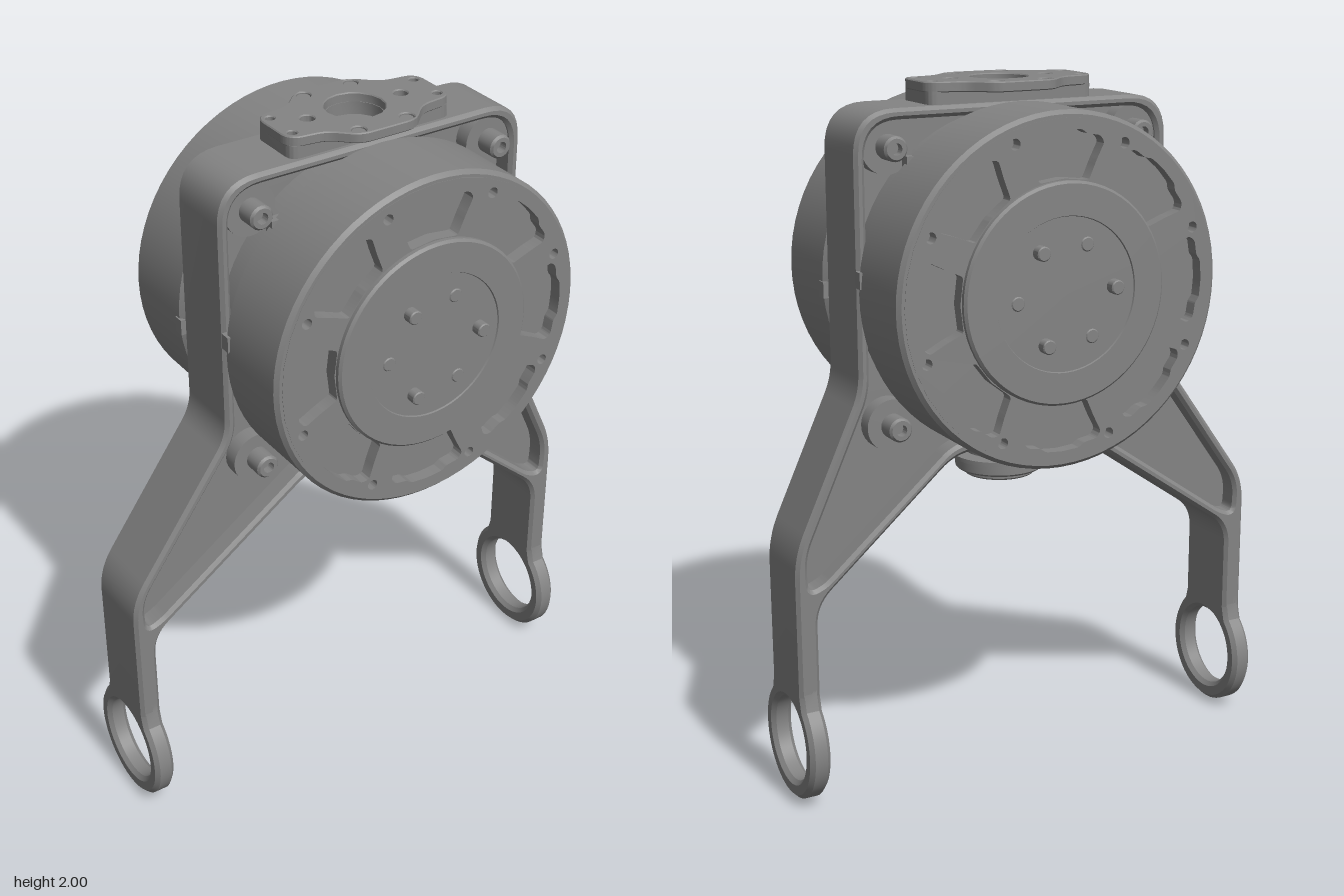
import * as THREE from 'three';
import { toCreasedNormals } from 'three/addons/utils/BufferGeometryUtils.js';

const CX = 0.058, CY = 1.46; // axis of the two drums
const material = new THREE.MeshStandardMaterial({ color: 0x848484 });

function part(parent, name, geometry, x = 0, y = 0, z = 0) {
  const mesh = new THREE.Mesh(toCreasedNormals(geometry, 0.5), material);
  mesh.name = name;
  mesh.position.set(x, y, z);
  parent.add(mesh);
  return mesh;
}

// Polygon with rounded corners; each point is [x, y, radius]
function rounded(points, path = new THREE.Shape()) {
  const n = points.length;
  points.forEach(([x, y, r = 0], i) => {
    const p = new THREE.Vector2(x, y);
    const toward = ([qx, qy]) => {
      const d = new THREE.Vector2(qx, qy).sub(p);
      return d.setLength(Math.min(r, d.length() * 0.49)).add(p);
    };
    const a = toward(points[(i + n - 1) % n]), b = toward(points[(i + 1) % n]);
    if (i === 0) path.moveTo(a.x, a.y); else path.lineTo(a.x, a.y);
    if (r > 0) path.quadraticCurveTo(x, y, b.x, b.y);
  });
  path.closePath();
  return path;
}

const circle = (x, y, r, path = new THREE.Path()) => path.absarc(x, y, r, 0, Math.PI * 2, false);

// Extrusion of total thickness `depth`, centred on z, with chamfers kept inside the outline
function slab(shape, depth, bevel = 0, curveSegments = 8) {
  const g = new THREE.ExtrudeGeometry(shape, {
    depth: depth - 2 * bevel, curveSegments, bevelEnabled: bevel > 0,
    bevelSize: bevel, bevelThickness: bevel, bevelOffset: -bevel, bevelSegments: 1,
  });
  return g.translate(0, 0, -depth / 2 + bevel);
}

// Lathe profile of [radius, height] listed upward
const lathe = (profile, segments = 64) =>
  new THREE.LatheGeometry(profile.map(([r, h]) => new THREE.Vector2(r, h)), segments);
const latheZ = (profile, segments) => lathe(profile, segments).rotateX(Math.PI / 2);

function createFrame() {
  const frame = new THREE.Group();
  frame.name = 'frame';

  const outline = rounded([
    [0.536, 1.94, 0.12], [-0.422, 1.94, 0.12], [-0.422, 1.19, 0.05], [-0.738, 0.75, 0.07],
    [-0.738, 0.31], [-0.677, 0.31], [-0.677, 0.61, 0.06], [-0.15, 0.975, 0.06],
    [0.245, 0.975, 0.06], [0.677, 0.60, 0.06], [0.677, 0.31], [0.738, 0.31],
    [0.738, 0.75, 0.07], [0.536, 1.19, 0.05],
  ]);
  const pocket = [
    [0.506, 1.91, 0.1], [-0.392, 1.91, 0.1], [-0.392, 1.18, 0.05], [-0.705, 0.745, 0.05],
    [-0.70, 0.645, 0.03], [-0.65, 0.665, 0.02], [-0.16, 1.005, 0.05], [0.25, 1.005, 0.05],
    [0.65, 0.66, 0.02], [0.70, 0.64, 0.03], [0.705, 0.745, 0.05], [0.506, 1.18, 0.05],
  ];
  outline.holes.push(rounded(pocket, new THREE.Path()));
  part(frame, 'frameRim', slab(outline, 0.21, 0.01));
  part(frame, 'frameWeb', slab(rounded(pocket), 0.09));

  // Central housing between the drums
  part(frame, 'centralHousing', new THREE.CylinderGeometry(0.46, 0.46, 0.24, 64).rotateX(Math.PI / 2), CX, CY);

  // Corner bosses merging into the rim, with socket-head bolts on both faces
  for (const sx of [-1, 1]) for (const sy of [-1, 1]) {
    const x = CX + sx * 0.378, y = CY + sy * 0.38;
    part(frame, 'cornerBoss', new THREE.CylinderGeometry(0.074, 0.074, 0.18, 32).rotateX(Math.PI / 2), x, y);
    for (const face of [0, Math.PI]) {
      const bolt = part(frame, 'cornerBolt', latheZ(
        [[0.034, 0.08], [0.034, 0.143], [0.028, 0.15], [0.016, 0.15], [0.016, 0.125], [0, 0.125]], 20), x, y);
      bolt.rotation.y = face;
    }
  }

  // Eyelets at the feet
  const eye = new THREE.Shape();
  eye.moveTo(-0.105, 0.37);
  eye.lineTo(-0.105, 0.345);
  eye.absarc(0, 0.172, 0.172, Math.PI * 0.74, Math.PI * 2.26, false);
  eye.lineTo(0.105, 0.345);
  eye.lineTo(0.105, 0.37);
  eye.closePath();
  eye.holes.push(circle(0, 0.175, 0.123));
  for (const s of [-1, 1]) {
    part(frame, 'footEyelet', slab(eye, 0.061, 0.012, 24).rotateY(Math.PI / 2), s * 0.7075);
  }
  return frame;
}

function createDrum() {
  const drum = new THREE.Group();
  drum.name = 'drum';

  part(drum, 'drumBody', latheZ([
    [0, 0.112], [0.47, 0.112], [0.483, 0.125], [0.483, 0.353], [0.472, 0.364], [0.46, 0.364], [0.46, 0.328], [0, 0.328],
  ], 72));

  // Face plate with eight notched windows and small holes
  const face = circle(0, 0, 0.464, new THREE.Shape());
  const windowHalf = [[0.306, 14], [0.36, 15.5], [0.412, 17], [0.426, 14.5], [0.424, 9], [0.434, 7]];
  const windowOutline = [
    ...windowHalf.map(([r, d]) => [r, -d]), [0.435, 0], ...[...windowHalf].reverse(), [0.306, 0],
  ];
  for (let i = 0; i < 8; i++) {
    const at = (r, deg) => {
      const a = THREE.MathUtils.degToRad(deg + i * 45);
      return [r * Math.cos(a), r * Math.sin(a)];
    };
    face.holes.push(rounded(windowOutline.map(([r, d]) => [...at(r, d), 0.01]), new THREE.Path()));
    face.holes.push(circle(...at(0.428, 19.8), 0.015));
  }
  part(drum, 'facePlate', slab(face, 0.04, 0, 18), 0, 0, 0.345);

  // Raised hub cap with a slightly lower centre
  part(drum, 'hubCap', latheZ([
    [0.302, 0.32], [0.302, 0.376], [0.295, 0.383], [0.211, 0.383], [0.209, 0.379], [0, 0.379],
  ]));

  // Alternating tall and flush hub screws
  for (let i = 0; i < 6; i++) {
    const a = THREE.MathUtils.degToRad(4 + i * 60);
    const top = i % 2 ? 0.382 : 0.407;
    part(drum, 'hubScrew', latheZ([[0.02, 0.37], [0.02, top - 0.003], [0.017, top], [0, top]], 16),
      0.145 * Math.cos(a), 0.145 * Math.sin(a));
  }

  // Small clips in the gap beside the frame
  for (const [x, y] of [[-0.32, 0.335], [0.462, -0.03], [-0.462, 0.04]]) {
    part(drum, 'gapClip', new THREE.BoxGeometry(0.05, 0.045, 0.03), x, y, 0.125);
  }
  return drum;
}

function createTopMount() {
  const mount = new THREE.Group();
  mount.name = 'topMount';
  mount.position.x = CX;

  // Quarter outline mirrored into a cross-shaped flange
  const q = [[0.255, 0.06, 0.02], [0.235, 0.085, 0.02], [0.15, 0.095, 0.03], [0.085, 0.16, 0.03]];
  const flip = (sx, sy) => q.map(([x, y, r]) => [x * sx, y * sy, r]);
  const plate = rounded([...flip(1, 1), ...flip(-1, 1).reverse(), ...flip(-1, -1), ...flip(1, -1).reverse()]);
  plate.holes.push(circle(0, 0, 0.082));
  for (const sx of [-1, 1]) {
    plate.holes.push(circle(sx * 0.147, 0, 0.02));
    for (const sz of [-1, 1]) {
      plate.holes.push(circle(sx * 0.227, sz * 0.053, 0.013));
      plate.holes.push(circle(sx * 0.075, sz * 0.13, 0.02));
      part(mount, 'flangeScrew', new THREE.CylinderGeometry(0.018, 0.018, 0.024, 16), sx * 0.075, 1.983, sz * 0.13);
    }
  }
  part(mount, 'flange', slab(plate, 0.028, 0.003).rotateX(-Math.PI / 2), 0, 1.986);

  const base = rounded([[0.25, 0.085, 0.03], [-0.25, 0.085, 0.03], [-0.25, -0.085, 0.03], [0.25, -0.085, 0.03]]);
  base.holes.push(circle(0, 0, 0.08));
  part(mount, 'flangeBase', slab(base, 0.04).rotateX(-Math.PI / 2), 0, 1.955);
  return mount;
}

function createBottomConnector() {
  const connector = new THREE.Group();
  connector.name = 'bottomConnector';
  connector.position.x = CX;
  part(connector, 'connectorBody', lathe([
    [0, 0.885], [0.072, 0.885], [0.076, 0.872], [0.1, 0.872], [0.105, 0.877], [0.105, 0.888], [0.122, 0.888],
    [0.128, 0.894], [0.128, 0.923], [0.14, 0.923], [0.14, 0.935], [0.098, 0.937], [0.098, 0.99],
  ], 48));
  // Two contact pins in the shallow recess
  for (const s of [-1, 1]) {
    part(connector, 'contactPin', new THREE.CylinderGeometry(0.018, 0.018, 0.02, 16), s * 0.035, 0.884, 0);
  }
  return connector;
}

export function createModel() {
  const model = new THREE.Group();
  model.name = 'forkedDrumAssembly';
  model.add(createFrame(), createTopMount(), createBottomConnector());
  for (const [name, turn] of [['frontDrum', 0], ['backDrum', Math.PI]]) {
    const drum = createDrum();
    drum.name = name;
    drum.position.set(CX, CY, 0);
    drum.rotation.y = turn;
    model.add(drum);
  }
  return model;
}
